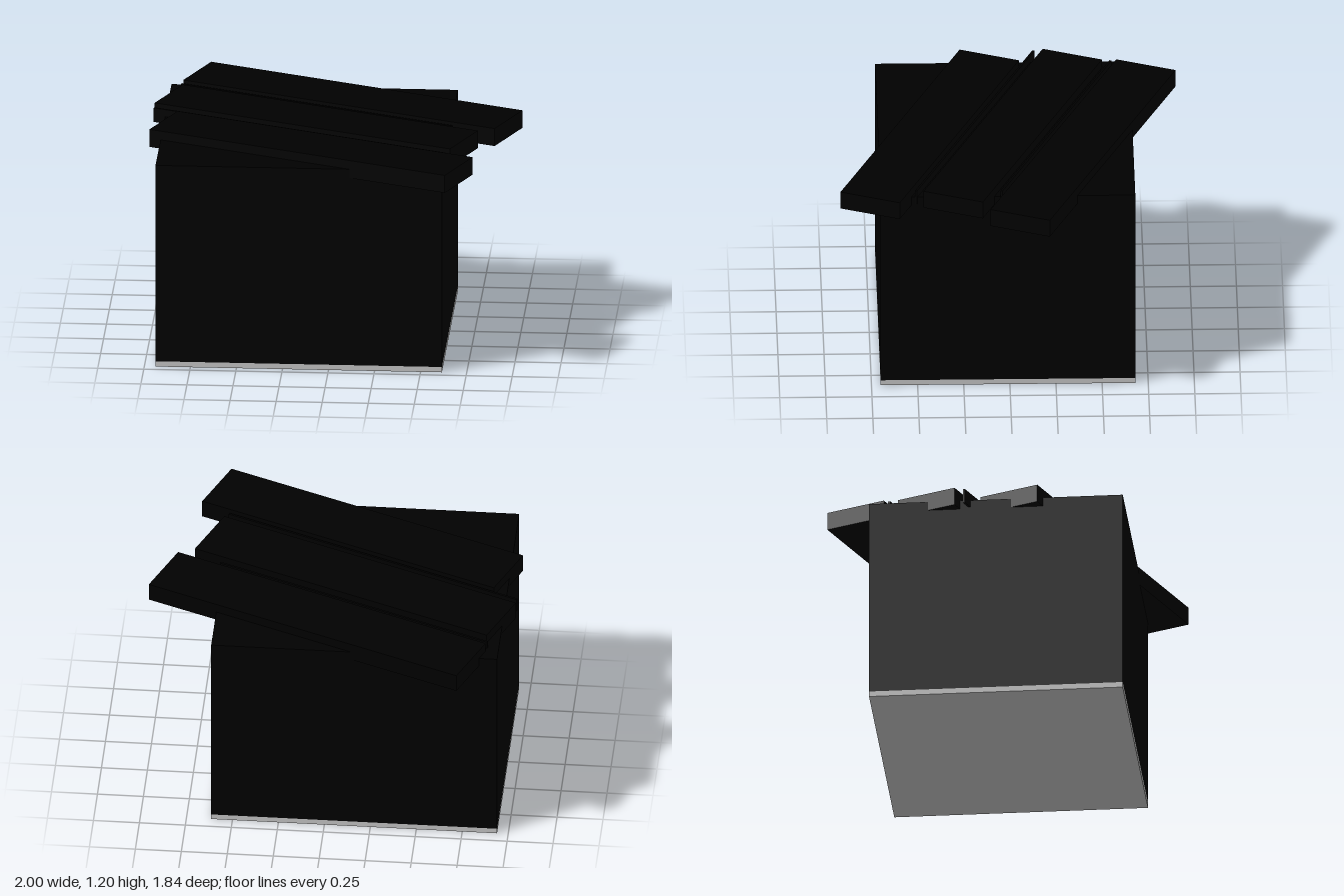
import * as THREE from 'three';

const TILT = -THREE.MathUtils.degToRad(22.4);

export function createModel() {
  const root = new THREE.Group();
  const black = new THREE.MeshStandardMaterial({ color: 0x000000 });
  const grey = new THREE.MeshStandardMaterial({ color: 0xcccccc });

  // Box given by its size, its centre in x and z, and its underside
  function addBox(name, [w, h, d], x, bottom, z, material, turn = 0) {
    const mesh = new THREE.Mesh(new THREE.BoxGeometry(w, h, d), material);
    mesh.name = name;
    mesh.position.set(x, bottom + h / 2, z);
    mesh.rotation.y = turn;
    root.add(mesh);
  }

  // Crate body on a thin pale base
  addBox('base', [1.555, 0.03, 1.38], -0.162, 0, 0.01, grey);
  addBox('crateBody', [1.555, 1.12, 1.38], -0.162, 0.03, 0.01, black);

  // Slanted lid planks, back to front: length, x, z
  [
    [1.877, 0.0625, -0.4075],
    [1.78, -0.1125, -0.03],
    [1.78, -0.1125, 0.42],
  ].forEach(([length, x, z], i) =>
    addBox(`lidPlank${i + 1}`, [length, 0.1, 0.345], x, 1.1, z, black, TILT));

  // Thin strips standing in the gaps between planks
  [
    [1.63, -0.125, -0.265],
    [1.755, -0.19, 0.175],
  ].forEach(([length, x, z], i) =>
    addBox(`gapStrip${i + 1}`, [length, 0.08, 0.012], x, 1.11, z, black, TILT));

  return root;
}
